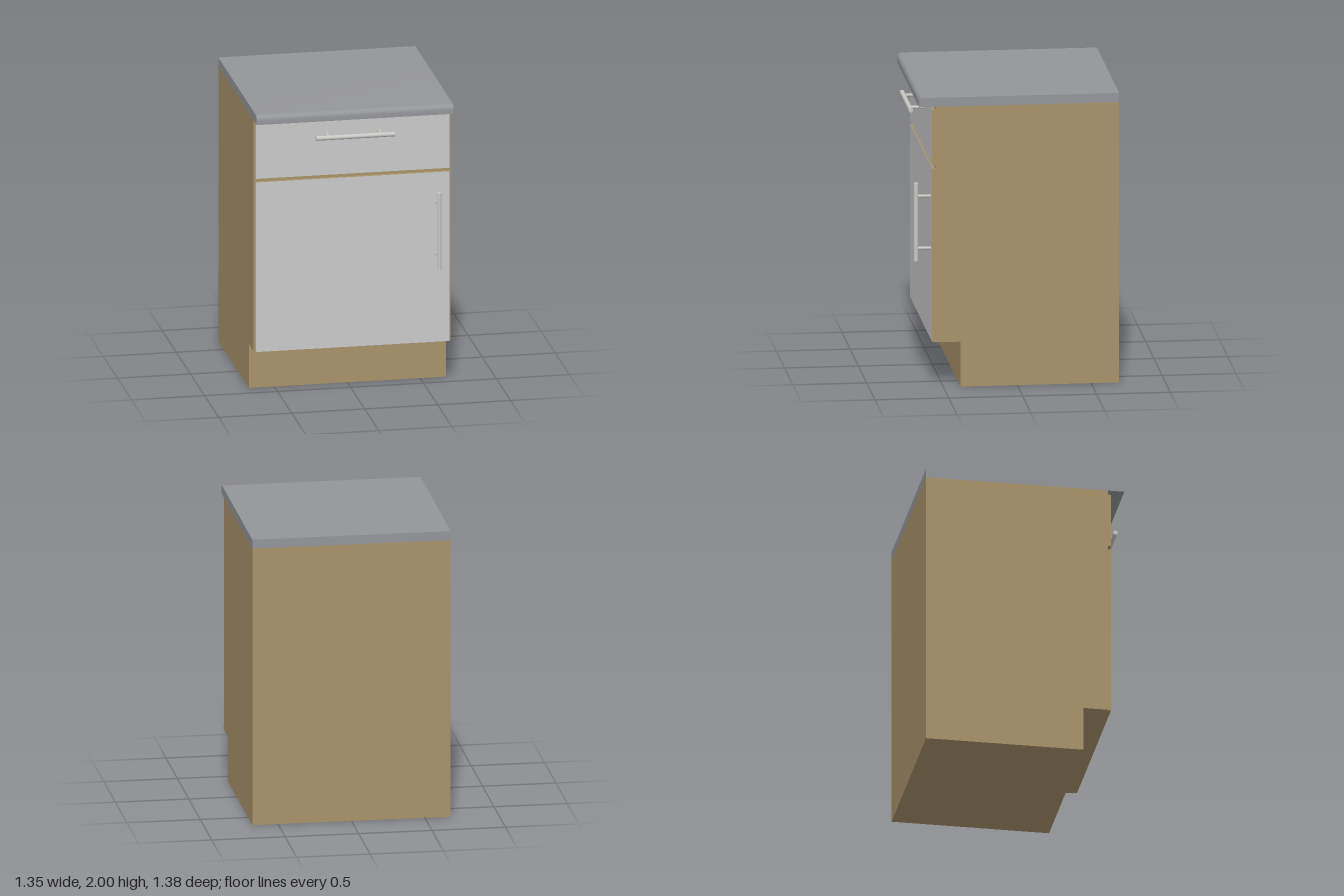
import * as THREE from 'three';
import { toCreasedNormals } from 'three/addons/utils/BufferGeometryUtils.js';

const material = (name, color) => {
  const m = new THREE.MeshStandardMaterial({ color });
  m.name = name;
  return m;
};

// Extrudes a side profile, drawn as (z, y), across the width and centres it on x.
function extrudeAcross(shape, width) {
  const geometry = new THREE.ExtrudeGeometry(shape, { depth: width, bevelEnabled: false, curveSegments: 10 });
  geometry.translate(0, 0, -width / 2).rotateY(-Math.PI / 2);
  return toCreasedNormals(geometry, 0.6);
}

export function createModel() {
  const wood = material('wood', 0xa8926b);
  const stone = material('worktop grey', 0x949599);
  const paint = material('front grey', 0xc9c9c9);
  const metal = material('handle metal', 0xc8c8c4);

  const model = new THREE.Group();
  model.name = 'baseCabinet';
  const add = (parent, name, geometry, mat) => {
    const mesh = new THREE.Mesh(geometry, mat);
    mesh.name = name;
    parent.add(mesh);
    return mesh;
  };

  const width = 1.35, back = -0.69, carcassFront = 0.552, panelFront = 0.575;

  // Carcass with a recessed toe kick
  const side = new THREE.Shape([
    [back, 0], [0.385, 0], [0.385, 0.31], [carcassFront, 0.31], [carcassFront, 1.937], [back, 1.937],
  ].map(([z, y]) => new THREE.Vector2(z, y)));
  add(model, 'carcass', extrudeAcross(side, width), wood);

  // Worktop with a rounded upper front edge
  const nose = 0.035, topFront = 0.665;
  const top = new THREE.Shape();
  top.moveTo(back, 1.937);
  top.lineTo(topFront, 1.937);
  top.lineTo(topFront, 2 - nose);
  top.absarc(topFront - nose, 2 - nose, nose, 0, Math.PI / 2, false);
  top.lineTo(back, 2);
  top.closePath();
  add(model, 'worktop', extrudeAcross(top, width), stone);

  // Front panels: wooden edges, painted front face
  function panel(name, y0, y1) {
    const depth = panelFront - carcassFront;
    const mesh = add(model, name, new THREE.BoxGeometry(1.33, y1 - y0, depth),
      [wood, wood, wood, wood, paint, wood]);
    mesh.position.set(0, (y0 + y1) / 2, carcassFront + depth / 2);
  }
  panel('drawerFront', 1.53, 1.912);
  panel('door', 0.31, 1.505);

  // Bar handle on two posts, built upright
  function handle(name, x, y, turn) {
    const group = new THREE.Group();
    group.name = name;
    const barZ = 0.675;
    add(group, 'bar', new THREE.CylinderGeometry(0.0155, 0.0155, 0.54, 24), metal).position.z = barZ;
    for (const s of [-1, 1]) {
      const post = new THREE.CylinderGeometry(0.01, 0.01, barZ - panelFront, 16).rotateX(Math.PI / 2);
      add(group, 'post', post, metal).position.set(0, s * 0.18, (barZ + panelFront) / 2);
    }
    group.position.set(x, y, 0);
    group.rotation.z = turn;
    model.add(group);
  }
  handle('drawerHandle', 0, 1.822, Math.PI / 2);
  handle('doorHandle', 0.573, 1.12, 0);

  return model;
}
